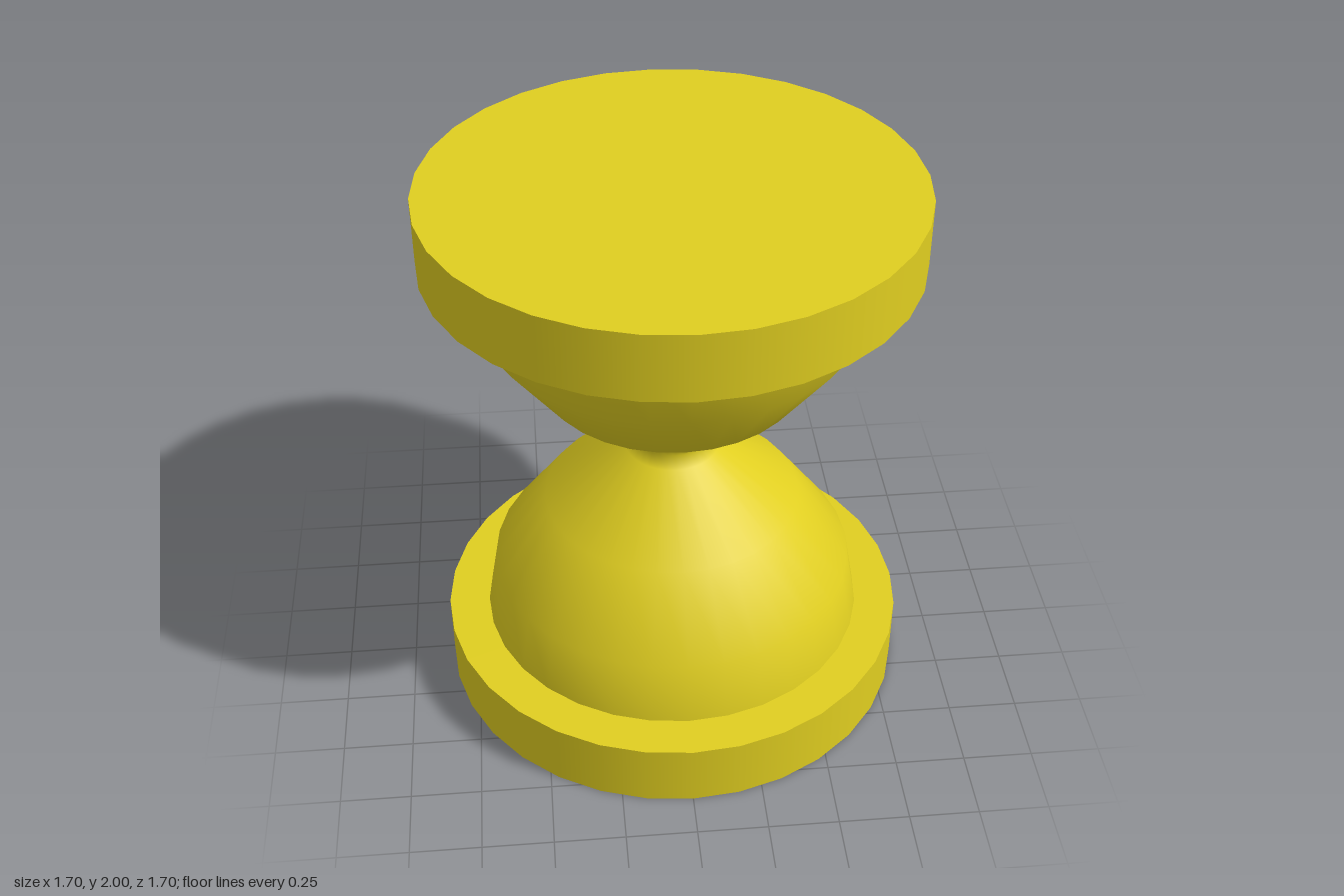
import * as THREE from 'three';

const SIDES = 32;
const CAP_RADIUS = 0.85, CAP_HEIGHT = 0.24;

export function createModel() {
  const group = new THREE.Group();
  group.name = 'hourglass';
  const material = new THREE.MeshStandardMaterial({ color: 0xe0ce20 });

  // Round end plates
  const capGeometry = new THREE.CylinderGeometry(CAP_RADIUS, CAP_RADIUS, CAP_HEIGHT, SIDES);
  for (const [name, y] of [['bottomPlate', CAP_HEIGHT / 2], ['topPlate', 2 - CAP_HEIGHT / 2]]) {
    const cap = new THREE.Mesh(capGeometry, material);
    cap.name = name;
    cap.position.y = y;
    group.add(cap);
  }

  // Glass bulbs: the lower half of the profile, mirrored about the neck
  const lower = [[0.7, CAP_HEIGHT], [0.66, 0.465], [0.465, 0.733], [0.17, 0.955]];
  const upper = lower.map(([r, y]) => [r, 2 - y]).reverse();
  const profile = [...lower, [0.145, 1], ...upper].map(([r, y]) => new THREE.Vector2(r, y));
  const bulbs = new THREE.Mesh(new THREE.LatheGeometry(profile, SIDES), material);
  bulbs.name = 'glassBulbs';
  group.add(bulbs);

  return group;
}
